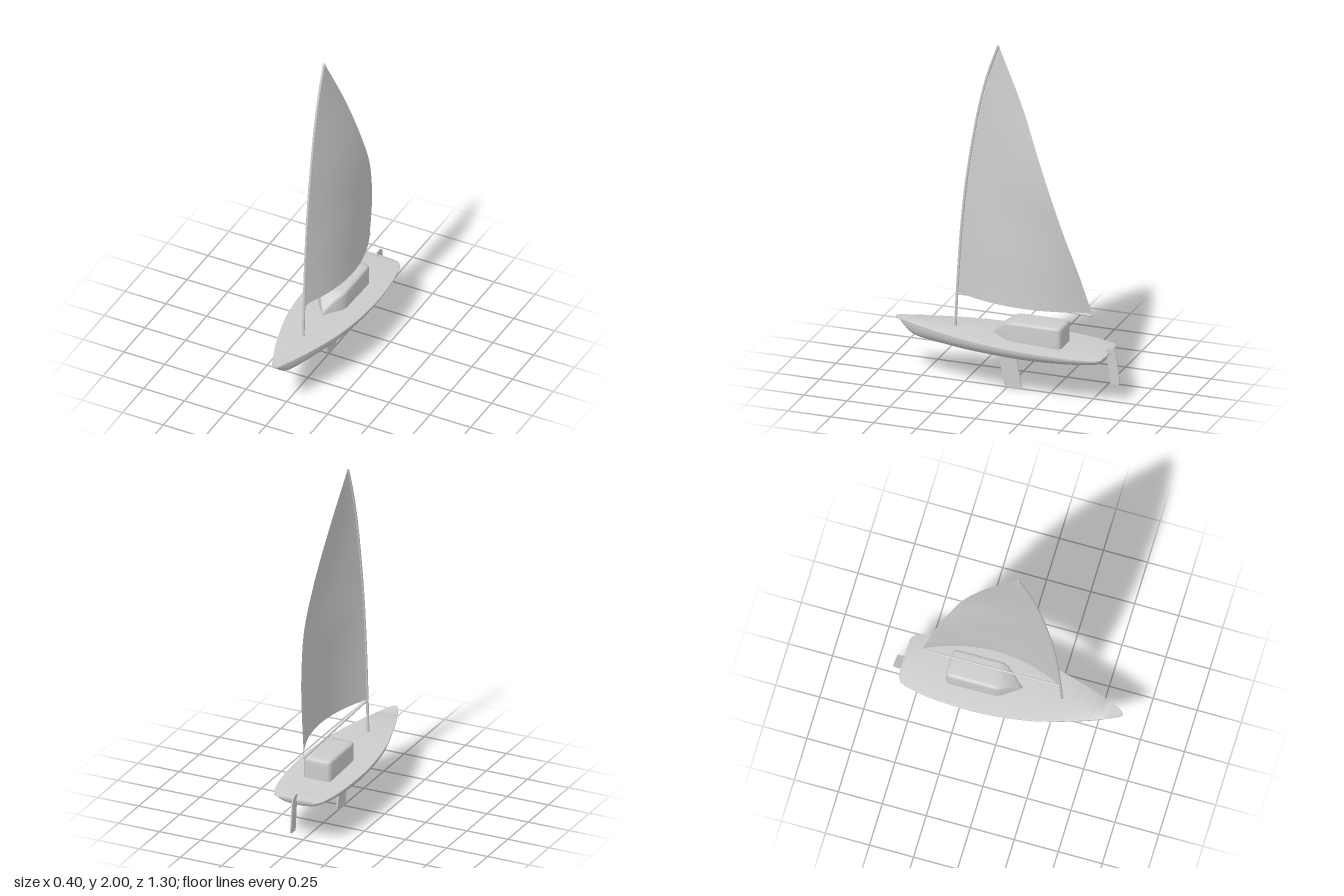
import * as THREE from 'three';
import { toCreasedNormals } from 'three/addons/utils/BufferGeometryUtils.js';

const V = (x, y, z) => new THREE.Vector3(x, y, z);
const sheer = z => 0.307 + 0.04 * z; // deck line rises towards the bow

// Smooth list of rows [a, b, c] through a few control rows
function smoothRows(rows, n) {
  return new THREE.CatmullRomCurve3(rows.map(r => V(...r))).getPoints(n).map(p => [p.x, p.y, p.z]);
}

// Closed skin through rings ordered by growing z, each counter-clockwise seen from +z
function loft(rings, crease) {
  const pos = [];
  const tri = (...pts) => pts.forEach(p => pos.push(p.x, p.y, p.z));
  const n = rings[0].length;
  for (let i = 0; i < rings.length - 1; i++) {
    for (let j = 0; j < n; j++) {
      const k = (j + 1) % n, a = rings[i], b = rings[i + 1];
      tri(a[j], a[k], b[j]);
      tri(a[k], b[k], b[j]);
    }
  }
  for (const [ring, back] of [[rings[0], true], [rings[rings.length - 1], false]]) {
    const c = V(0, 0, 0);
    ring.forEach(p => c.addScaledVector(p, 1 / n));
    ring.forEach((p, j) => {
      const q = ring[(j + 1) % n];
      if (back) tri(c, q, p); else tri(c, p, q);
    });
  }
  const g = new THREE.BufferGeometry();
  g.setAttribute('position', new THREE.Float32BufferAttribute(pos, 3));
  return toCreasedNormals(g, crease);
}

// Hull: rounded underbody, rows are [z, half width, keel height]
function hullGeometry() {
  const rows = smoothRows([
    [-0.583, 0.085, 0.258], [-0.57, 0.125, 0.24], [-0.53, 0.148, 0.231], [-0.4, 0.178, 0.22],
    [-0.2, 0.194, 0.211], [0, 0.187, 0.211], [0.2, 0.159, 0.215], [0.4, 0.104, 0.224],
    [0.5, 0.068, 0.231], [0.55, 0.047, 0.245], [0.59, 0.029, 0.275], [0.635, 0.006, 0.32],
  ], 55);
  return loft(rows.map(([z, w, keel]) => {
    const top = sheer(z) - 0.005, ring = [];
    for (let i = 0; i <= 24; i++) {
      const a = Math.PI + Math.PI * i / 24, c = Math.cos(a), s = Math.abs(Math.sin(a));
      ring.push(V(w * Math.sign(c) * Math.abs(c) ** 0.85, top - (top - keel) * s ** 0.85, z));
    }
    return ring;
  }), 0.7);
}

// Deck: thin plate slightly wider than the hull, rows are [z, half width, 0]
function deckGeometry() {
  const rows = smoothRows([
    [-0.594, 0.08, 0], [-0.586, 0.122, 0], [-0.565, 0.145, 0], [-0.5, 0.166, 0], [-0.4, 0.185, 0],
    [-0.18, 0.2, 0], [0, 0.193, 0], [0.2, 0.165, 0], [0.4, 0.11, 0], [0.5, 0.076, 0],
    [0.6, 0.036, 0], [0.635, 0.019, 0], [0.65, 0.003, 0],
  ], 60);
  return loft(rows.map(([z, w]) => {
    const y = sheer(z);
    return [V(-w, y - 0.009, z), V(w, y - 0.009, z), V(w, y - 0.002, z),
      V(w * 0.95, y, z), V(-w * 0.95, y, z), V(-w, y - 0.002, z)];
  }), 0.7);
}

// Cabin: rounded box with a pointed, sloping nose, rows are [z, half width, roof height]
function cabinGeometry() {
  const rows = [
    [-0.337, 0.06, 0.397], [-0.333, 0.073, 0.408], [-0.322, 0.081, 0.414], [-0.3, 0.083, 0.415],
    [-0.06, 0.083, 0.415], [-0.045, 0.081, 0.413], [-0.02, 0.072, 0.406], [0.02, 0.044, 0.381],
    [0.055, 0.018, 0.346], [0.08, 0.003, 0.318],
  ];
  return loft(rows.map(([z, w, top]) => {
    const r = Math.min(0.018, w * 0.5), ring = [V(-w, 0.285, z), V(w, 0.285, z)];
    for (const side of [1, -1]) {
      for (let i = 0; i <= 5; i++) {
        const a = Math.PI / 2 * (side > 0 ? i : 5 - i) / 5;
        ring.push(V(side * (w - r + r * Math.cos(a)), top - r + r * Math.sin(a), z));
      }
    }
    return ring;
  }), 0.75);
}

// Flat blade from a [z, y] outline
function bladeGeometry(outline, thickness) {
  const shape = new THREE.Shape(outline.map(([z, y]) => new THREE.Vector2(-z, y)));
  const g = new THREE.ExtrudeGeometry(shape, { depth: thickness, bevelEnabled: false });
  return g.translate(0, 0, -thickness / 2).rotateY(Math.PI / 2);
}

// Sail: a billowing sheet between the mast and the free rear edge
function sailGeometry(luff, leech) {
  const nu = 24, nv = 40, pos = [], index = [];
  for (let j = 0; j <= nv; j++) {
    const v = j / nv, a = luff.getPoint(v), b = leech.getPoint(v);
    for (let i = 0; i <= nu; i++) {
      const u = i / nu, p = a.clone().lerp(b, u);
      p.x += 0.38 * u * (1 - u) * (1 - v) ** 2;
      pos.push(p.x, p.y, p.z);
      if (i < nu && j < nv) {
        const k = j * (nu + 1) + i, m = k + nu + 1;
        index.push(k, k + 1, m, k + 1, m + 1, m);
      }
    }
  }
  const g = new THREE.BufferGeometry();
  g.setAttribute('position', new THREE.Float32BufferAttribute(pos, 3));
  g.setIndex(index);
  g.computeVertexNormals();
  return g;
}

export function createModel() {
  const model = new THREE.Group();
  model.name = 'sailboat';
  const grey = new THREE.MeshStandardMaterial({ color: 0xcccccc });
  grey.name = 'light grey';
  const cloth = grey.clone();
  cloth.side = THREE.DoubleSide;
  const add = (name, geometry, material = grey) => {
    const mesh = new THREE.Mesh(geometry, material);
    mesh.name = name;
    model.add(mesh);
    return mesh;
  };

  add('hull', hullGeometry());
  add('deck', deckGeometry());
  add('cabin', cabinGeometry());

  // Blades under and behind the hull
  add('keel', bladeGeometry([[0.058, 0.23], [0.02, 0.022], [0.013, 0.008], [0, 0],
    [-0.07, 0], [-0.079, 0.006], [-0.08, 0.022], [-0.043, 0.23]], 0.008));
  add('rudder', bladeGeometry([[-0.577, 0.31], [-0.596, 0.115], [-0.6, 0.1], [-0.645, 0.1],
    [-0.655, 0.112], [-0.633, 0.28], [-0.625, 0.3], [-0.61, 0.308]], 0.007));

  // Bent mast with rounded ends
  const mastLine = new THREE.CatmullRomCurve3([V(0, 0.315, 0.304), V(0, 0.52, 0.294), V(0, 0.9, 0.269),
    V(0, 1.2, 0.237), V(0, 1.6, 0.17), V(0, 1.82, 0.115), V(0, 1.993, 0.055)]);
  add('mast', new THREE.TubeGeometry(mastLine, 48, 0.0075, 12));
  for (const t of [0, 1]) {
    add(t ? 'mastTip' : 'mastFoot', new THREE.SphereGeometry(t ? 0.007 : 0.011, 12, 8)).position.copy(mastLine.getPoint(t));
  }

  // Straight boom
  const boom = add('boom', new THREE.CylinderGeometry(0.006, 0.006, 0.785, 12));
  boom.rotation.x = Math.PI / 2 - 0.032;
  boom.position.set(0, 0.499, -0.1);

  // Sail edges
  const luff = new THREE.CatmullRomCurve3([V(0, 0.517, 0.288), V(0, 0.9, 0.262), V(0, 1.2, 0.229),
    V(0, 1.6, 0.161), V(0, 1.82, 0.106), V(0, 1.995, 0.052)]);
  const leech = new THREE.CatmullRomCurve3([V(0, 0.505, -0.49), V(0.045, 0.75, -0.426), V(0.073, 0.92, -0.372),
    V(0.093, 1.15, -0.298), V(0.078, 1.4, -0.207), V(0.043, 1.67, -0.104), V(0, 1.995, 0.05)]);
  add('sail', sailGeometry(luff, leech), cloth);

  return model;
}
